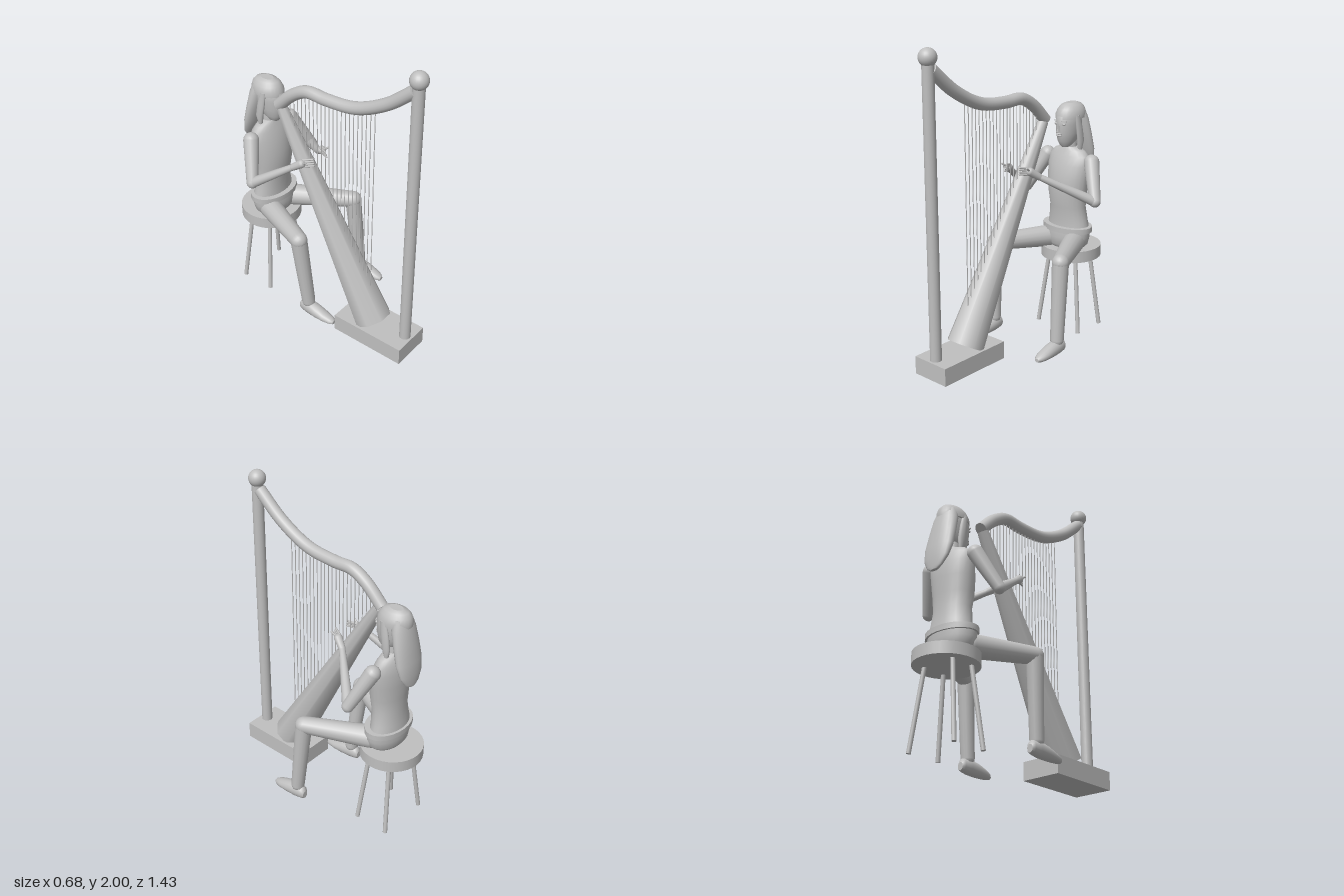
import * as THREE from 'three';

const grey = new THREE.MeshStandardMaterial({ color: 0xbfbfbf });
grey.name = 'plain grey';

const V = (x, y, z) => new THREE.Vector3(x, y, z);
const UP = V(0, 1, 0);
const CX = -0.02;   // player's centre line
const HX = -0.1;    // harp's centre line

export function createModel() {
  const model = new THREE.Group();
  model.name = 'harpist';
  const section = (name) => {
    const g = new THREE.Group();
    g.name = name;
    model.add(g);
    return g;
  };
  const add = (parent, name, geo, x = 0, y = 0, z = 0) => {
    const m = new THREE.Mesh(geo, grey);
    m.name = name;
    m.position.set(x, y, z);
    parent.add(m);
    return m;
  };
  // Mesh built along y, placed so it runs from a to b
  const span = (parent, name, geo, a, b) => {
    const m = add(parent, name, geo);
    m.position.copy(a).lerp(b, 0.5);
    m.quaternion.setFromUnitVectors(UP, b.clone().sub(a).normalize());
    return m;
  };
  const rod = (parent, name, a, b, ra, rb = ra, sides = 16) =>
    span(parent, name, new THREE.CylinderGeometry(rb, ra, a.distanceTo(b), sides), a, b);
  // Tapered limb with rounded ends
  const limb = (parent, name, a, b, ra, rb, sides = 16) => {
    const h = a.distanceTo(b) / 2, pts = [], n = 6;
    for (let i = 0; i <= n; i++) {
      const t = (i / n) * Math.PI / 2;
      pts.push(new THREE.Vector2(ra * Math.sin(t), -h - ra * Math.cos(t)));
    }
    for (let i = 0; i <= n; i++) {
      const t = (i / n) * Math.PI / 2;
      pts.push(new THREE.Vector2(rb * Math.cos(t), h + rb * Math.sin(t)));
    }
    return span(parent, name, new THREE.LatheGeometry(pts, sides), a, b);
  };
  // Closed skin over elliptical sections [x, y, z, rx, rz], stacked upwards
  const loft = (rings, n = 24) => {
    const pos = [], idx = [];
    const ring = ([x, y, z, rx, rz]) => {
      for (let i = 0; i < n; i++) {
        const t = (i / n) * Math.PI * 2;
        pos.push(x + rx * Math.cos(t), y, z + rz * Math.sin(t));
      }
    };
    rings.forEach(ring);
    for (let j = 0; j < rings.length - 1; j++) {
      for (let i = 0; i < n; i++) {
        const a = j * n + i, b = j * n + (i + 1) % n;
        idx.push(a, a + n, b, b, a + n, b + n);
      }
    }
    [rings[0], rings[rings.length - 1]].forEach((r, top) => {
      const s = pos.length / 3;
      ring(r);
      pos.push(r[0], r[1], r[2]);
      for (let i = 0; i < n; i++) {
        const a = s + i, b = s + (i + 1) % n;
        if (top) idx.push(s + n, b, a); else idx.push(s + n, a, b);
      }
    });
    const g = new THREE.BufferGeometry();
    g.setAttribute('position', new THREE.Float32BufferAttribute(pos, 3));
    g.setIndex(idx);
    g.computeVertexNormals();
    return g;
  };

  // Harp: base, pillar, finial, soundbox and curved neck
  const harp = section('harp');
  add(harp, 'base', new THREE.BoxGeometry(0.26, 0.115, 0.51), HX, 0.0575, 0.455);
  rod(harp, 'pillar', V(HX, 0.1, 0.66), V(HX, 1.92, 0.66), 0.036, 0.036, 24);
  add(harp, 'finial', new THREE.SphereGeometry(0.055, 24, 16), HX, 1.945, 0.66);
  const boxFoot = V(HX, 0.125, 0.41), boxTop = V(HX, 1.42, -0.315);
  const boxGeo = new THREE.CylinderGeometry(0.036, 0.123, boxFoot.distanceTo(boxTop), 8);
  boxGeo.rotateY(Math.PI / 8);
  span(harp, 'soundbox', boxGeo, boxFoot, boxTop);
  const curve = new THREE.CatmullRomCurve3([
    [0.64, 1.875], [0.456, 1.725], [0.244, 1.622], [0.03, 1.598],
    [-0.11, 1.598], [-0.22, 1.54], [-0.335, 1.43],
  ].map(([z, y]) => V(HX, y, z)));
  add(harp, 'neck', new THREE.TubeGeometry(curve, 40, 0.039, 16));
  [[0, 0.64, 1.875], [1, -0.335, 1.43]].forEach(([t, z, y]) => {
    const cap = add(harp, 'neckEnd', new THREE.CircleGeometry(0.039, 16), HX, y, z);
    const d = curve.getTangent(t).multiplyScalar(t ? 1 : -1);
    cap.quaternion.setFromUnitVectors(V(0, 0, 1), d);
  });
  const neckPts = curve.getPoints(200);
  for (let i = 0; i < 22; i++) {
    const z = 0.382 - i * 0.03;
    const top = neckPts.find((p) => p.z <= z).y;
    const bottom = 0.2 + (0.5 - z) * 1.57;
    rod(harp, 'string', V(HX, bottom - 0.02, z), V(HX, top, z), 0.003, 0.003, 6);
  }

  // Stool with splayed legs
  const stool = section('stool');
  add(stool, 'seat', new THREE.CylinderGeometry(0.198, 0.198, 0.075, 32), CX + 0.005, 0.5375, -0.513);
  for (const sx of [-1, 1]) {
    for (const sz of [-1, 1]) {
      rod(stool, 'stoolLeg', V(CX + sx * 0.11, 0.51, -0.505 + sz * 0.075),
        V(CX + sx * 0.172, 0.004, -0.505 + sz * 0.113), 0.014, 0.014, 12);
    }
  }

  // Trunk
  const body = section('player');
  add(body, 'hips', loft([
    [CX, 0.575, -0.475, 0.13, 0.09], [CX, 0.6, -0.475, 0.155, 0.108],
    [CX, 0.65, -0.475, 0.168, 0.115], [CX, 0.7, -0.478, 0.168, 0.113],
  ]));
  add(body, 'waistband', loft([[CX, 0.685, -0.48, 0.182, 0.122], [CX, 0.72, -0.48, 0.182, 0.122]]));
  add(body, 'torso', loft([
    [CX, 0.7, -0.49, 0.156, 0.098], [CX, 0.76, -0.488, 0.143, 0.093], [CX, 0.85, -0.48, 0.13, 0.092],
    [CX, 0.94, -0.475, 0.14, 0.1], [CX, 1.04, -0.48, 0.152, 0.1], [CX, 1.13, -0.49, 0.16, 0.09],
    [CX, 1.19, -0.495, 0.152, 0.07], [CX, 1.222, -0.495, 0.115, 0.055], [CX, 1.245, -0.495, 0.05, 0.045],
  ]));
  add(body, 'throat', loft([[CX, 1.2, -0.495, 0.048, 0.045], [CX, 1.32, -0.49, 0.04, 0.042]]));

  // Head and face
  const head = section('head');
  add(head, 'skull', loft([
    [CX, 1.247, -0.44, 0.02, 0.02], [CX, 1.255, -0.448, 0.034, 0.035], [CX, 1.29, -0.465, 0.055, 0.075],
    [CX, 1.34, -0.478, 0.068, 0.098], [CX, 1.4, -0.485, 0.075, 0.108], [CX, 1.45, -0.49, 0.075, 0.108],
    [CX, 1.5, -0.495, 0.055, 0.08], [CX, 1.515, -0.495, 0.03, 0.04],
  ]));
  const nose = add(head, 'nose', new THREE.ConeGeometry(0.014, 0.055, 4), CX, 1.383, -0.374);
  nose.rotation.x = -0.2;
  for (const y of [1.331, 1.341]) {
    add(head, 'lip', new THREE.SphereGeometry(1, 12, 8), CX, y, -0.378).scale.set(0.023, 0.006, 0.012);
  }
  for (const s of [-1, 1]) {
    add(head, 'eye', new THREE.SphereGeometry(1, 12, 8), CX + s * 0.031, 1.405, -0.39).scale.set(0.014, 0.008, 0.01);
    const brow = add(head, 'brow', new THREE.BoxGeometry(0.033, 0.005, 0.008), CX + s * 0.032, 1.424, -0.387);
    brow.rotation.y = s * 0.35;
  }

  // Hair: crown, long back fall and strands framing the face
  add(head, 'hairCrown', loft([
    [CX, 1.435, -0.495, 0.086, 0.113], [CX, 1.465, -0.497, 0.086, 0.112], [CX, 1.495, -0.5, 0.074, 0.1],
    [CX, 1.518, -0.5, 0.055, 0.08], [CX, 1.53, -0.5, 0.03, 0.045],
  ]));
  add(head, 'hairBack', loft([
    [CX, 1.06, -0.637, 0.03, 0.012], [CX, 1.08, -0.634, 0.06, 0.018], [CX, 1.14, -0.622, 0.096, 0.032],
    [CX, 1.22, -0.603, 0.108, 0.045], [CX, 1.32, -0.58, 0.102, 0.05], [CX, 1.42, -0.556, 0.09, 0.055],
    [CX, 1.49, -0.54, 0.068, 0.05],
  ]));
  for (const s of [-1, 1]) {
    add(head, 'hairStrand', loft([
      [CX + s * 0.075, 1.22, -0.5, 0.012, 0.012], [CX + s * 0.082, 1.29, -0.5, 0.016, 0.028],
      [CX + s * 0.08, 1.38, -0.485, 0.014, 0.028], [CX + s * 0.075, 1.46, -0.47, 0.012, 0.02],
    ], 12));
  }

  // Legs and feet
  for (const [side, s, ankleX, toe] of [['left', 1, 0.293, 0.187], ['right', -1, -0.245, 0.205]]) {
    const knee = V(s * 0.277, 0.638, -0.05), ankle = V(ankleX, 0.14, -0.005);
    limb(body, side + 'Thigh', V(CX + s * 0.1, 0.625, -0.42), knee, 0.072, 0.054);
    limb(body, side + 'Shin', knee, ankle, 0.053, 0.043);
    const foot = add(body, side + 'Foot', loft([
      [0, -0.066, 0.01, 0.02, 0.025], [0, -0.05, 0, 0.034, 0.042], [0, 0, 0, 0.042, 0.05],
      [0, 0.07, 0.008, 0.045, 0.043], [0, 0.13, 0.018, 0.041, 0.031],
      [0, toe - 0.02, 0.024, 0.03, 0.022], [0, toe, 0.028, 0.014, 0.012],
    ], 16), ankleX, 0.093, 0);
    foot.rotation.x = Math.PI / 2;
  }

  // Arms, hands and fingers reaching for the strings
  const arms = [
    ['left', V(0.163, 1.165, -0.487), V(0.267, 0.945, -0.395), V(0.025, 1.115, -0.14), V(-0.003, 1.155, -0.085), V(-0.035, 1.165, -0.02)],
    ['right', V(-0.203, 1.165, -0.487), V(-0.307, 0.94, -0.395), V(-0.212, 1.115, -0.14), V(-0.192, 1.15, -0.09), V(-0.158, 1.165, -0.02)],
  ];
  for (const [side, shoulder, elbow, wrist, palm, tip] of arms) {
    const s = Math.sign(shoulder.x);
    limb(body, side + 'UpperArm', shoulder, elbow, 0.05, 0.037);
    limb(body, side + 'Forearm', elbow, wrist, 0.034, 0.02);
    limb(body, side + 'Palm', wrist, palm, 0.022, 0.027, 12);
    for (let i = 0; i < 4; i++) {
      const dy = (i - 1.5) * 0.013;
      const from = palm.clone().add(V(-s * i * 0.004, dy, 0));
      limb(body, side + 'Finger', from, tip.clone().add(V(-s * 0.002 * i, dy, i * -0.004)), 0.008, 0.006, 8);
    }
    limb(body, side + 'Thumb', palm, palm.clone().add(V(s * 0.012, 0.03, 0.045)), 0.009, 0.006, 8);
  }

  return model;
}
